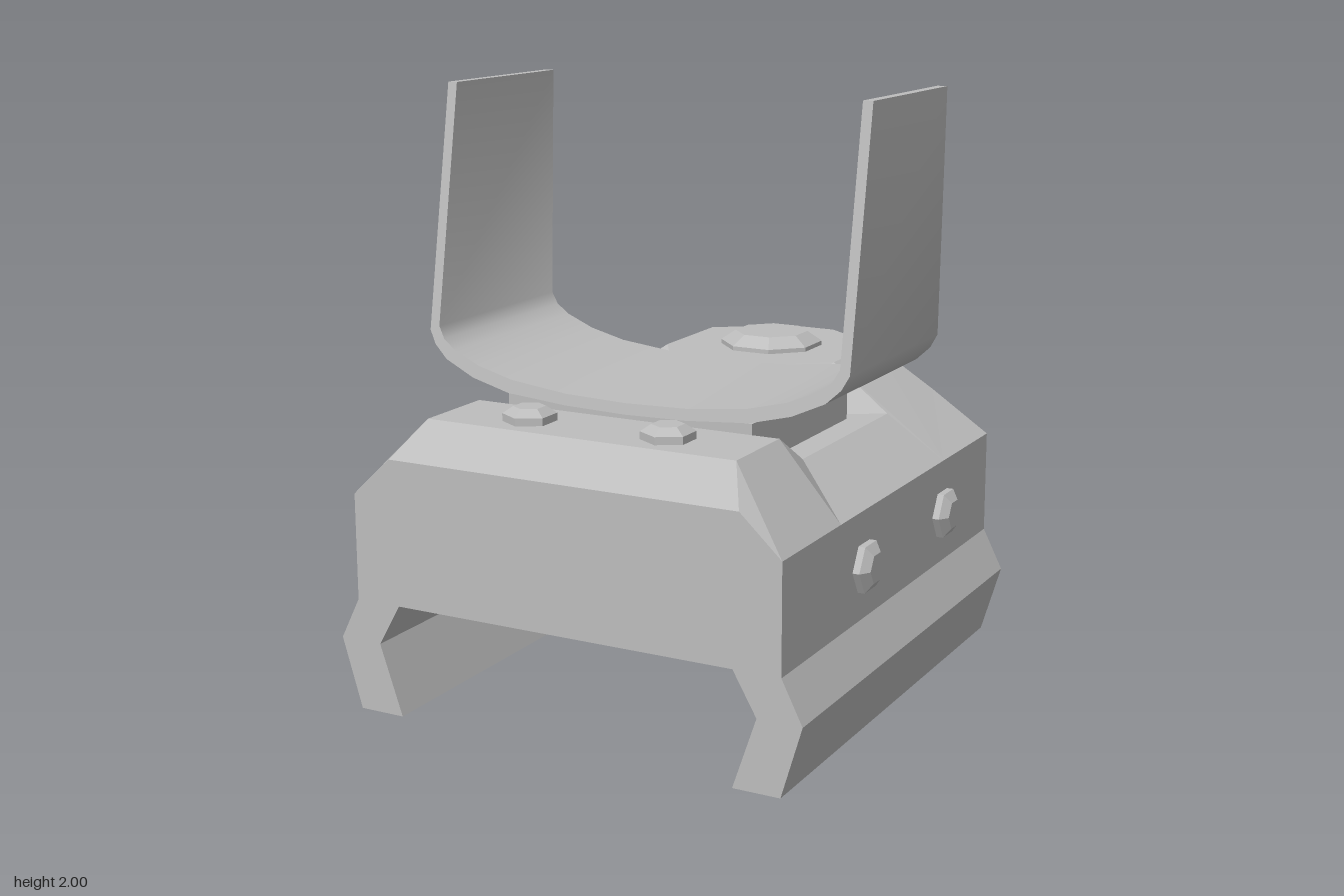
import * as THREE from 'three';
import { toCreasedNormals } from 'three/addons/utils/BufferGeometryUtils.js';

const metal = new THREE.MeshStandardMaterial({ color: 0xbdbdbd });
metal.name = 'grey metal';

// Flat faces given for the +x half, repeated mirrored on the -x half
function mirroredFaces(name, faces) {
  const pos = [];
  for (const f of faces) {
    for (let i = 1; i < f.length - 1; i++) {
      const tri = [f[0], f[i], f[i + 1]];
      for (const p of tri) pos.push(...p);
      for (const p of tri.reverse()) pos.push(-p[0], p[1], p[2]);
    }
  }
  const geo = new THREE.BufferGeometry();
  geo.setAttribute('position', new THREE.Float32BufferAttribute(pos, 3));
  geo.computeVertexNormals();
  const mesh = new THREE.Mesh(geo, metal);
  mesh.name = name;
  return mesh;
}

// Faceted bolt head standing on y = 0
function bolt(name, sides, profile, phi = 0) {
  const points = profile.map(([r, y]) => new THREE.Vector2(r, y));
  const geo = new THREE.LatheGeometry(points, sides, phi).toNonIndexed();
  geo.computeVertexNormals();
  const mesh = new THREE.Mesh(geo, metal);
  mesh.name = name;
  return mesh;
}

// Bent strap: U-shaped band whose width tapers with height
function strap() {
  const outer = [[0.762, 2], [0.762, 1.19], [0.738, 1.145], [0.69, 1.1], [0.58, 1.05],
    [0.44, 1.015], [0.22, 0.998], [0, 0.993]];
  const inner = [[0.728, 2], [0.728, 1.205], [0.705, 1.165], [0.66, 1.132], [0.56, 1.09],
    [0.43, 1.058], [0.22, 1.035], [0, 1.029]];
  const flip = (list) => list.slice(0, -1).reverse().map(([x, y]) => [-x, y]);
  const outline = [...outer, ...flip(outer), ...flip(inner).reverse(), ...inner.slice().reverse()];
  const shape = new THREE.Shape(outline.map(([x, y]) => new THREE.Vector2(x + 0.012, y)));
  const geo = new THREE.ExtrudeGeometry(shape, { depth: 1, bevelEnabled: false });
  const p = geo.attributes.position;
  for (let i = 0; i < p.count; i++) {
    const h = p.getY(i) - 1;
    p.setZ(i, THREE.MathUtils.lerp(-0.15 - 0.04 * h, 0.585 - 0.175 * h, p.getZ(i)));
  }
  const mesh = new THREE.Mesh(toCreasedNormals(geo, 0.6), metal);
  mesh.name = 'strap';
  return mesh;
}

export function createModel() {
  const model = new THREE.Group();
  model.name = 'clampMount';
  const F = 0.98, B = -0.7;

  // Shared corners of the body
  const shoulder = (z) => [0.76, 0.73, z];
  const waist = (z) => [0.76, 0.375, z];
  const frontLip = [0.62, 0.86, F], topFront = [0.55, 0.975, 0.86], topBack = [0.55, 0.975, 0.57];
  const deckFront = [0.55, 0.87, 0.4], deckBack = [0.55, 0.87, -0.28];
  const domeFoot = [0.12, 0.87, -0.03], domeNose = [0.09, 1.02, -0.13];
  const domeFront = [0.33, 1.02, -0.32], domeBack = [0.33, 1.02, -0.67], domeTail = [0.09, 1.02, -0.84];
  const rearTop = [0.55, 0.87, B], rearEnd = [0.16, 0.87, -0.98];
  const rearEndLow = [0.16, 0.375, -0.98], rearLow = [0.6, 0.375, -0.86];
  const mid = ([, y, z]) => [0, y, z];

  // Front block, sides and deck
  model.add(mirroredFaces('body', [
    [[0, 0.375, F], waist(F), shoulder(F), frontLip, mid(frontLip)],
    [mid(frontLip), frontLip, topFront, mid(topFront)],
    [mid(topFront), topFront, topBack, mid(topBack)],
    [mid(topBack), topBack, deckFront, mid(deckFront)],
    [mid(deckFront), deckFront, deckBack, domeFoot, mid(domeFoot)],
    [waist(F), waist(B), shoulder(B), shoulder(F)],
    [shoulder(F), topFront, frontLip],
    [shoulder(F), shoulder(0.57), topBack, topFront],
    [shoulder(0.57), shoulder(0.4), deckFront, topBack],
    [shoulder(0.4), shoulder(-0.28), deckBack, deckFront],
    [[0, 0.375, F], mid(rearEndLow), rearEndLow, rearLow, [0.6, 0.375, F]],
  ]));

  // Raised faceted rear housing
  model.add(mirroredFaces('rearHousing', [
    [shoulder(-0.28), shoulder(B), rearTop, domeBack, domeFront, deckBack],
    [mid(domeFoot), domeFoot, domeNose, mid(domeNose)],
    [domeFoot, deckBack, domeFront, domeNose],
    [mid(domeNose), domeNose, domeFront, domeBack, domeTail, mid(domeTail)],
    [domeBack, rearTop, rearEnd, domeTail],
    [mid(domeTail), domeTail, rearEnd, mid(rearEnd)],
    [rearTop, rearLow, rearEndLow, rearEnd],
    [rearEnd, rearEndLow, mid(rearEndLow), mid(rearEnd)],
    [rearTop, shoulder(B), rearLow],
    [shoulder(B), waist(B), rearLow],
  ]));

  // Bent rail-gripping jaws: [outer x, inner x, y, inner back z]
  const levels = [[0.76, 0.6, 0, -0.81], [0.83, 0.68, 0.235, -0.81], [0.76, 0.6, 0.375, -0.86]];
  const corners = levels.map(([o, i, y, z]) => ({
    of: [o, y, F], ob: [o, y, B], if: [i, y, F], ib: [i, y, z],
  }));
  const jawFaces = [[corners[0].if, corners[0].ib, corners[0].ob, corners[0].of]];
  for (let k = 0; k < 2; k++) {
    const lo = corners[k], hi = corners[k + 1];
    jawFaces.push([lo.of, lo.ob, hi.ob, hi.of], [lo.ib, lo.if, hi.if, hi.ib],
      [hi.if, lo.if, lo.of, hi.of], [hi.ob, lo.ob, lo.ib, hi.ib]);
  }
  model.add(mirroredFaces('jaws', jawFaces));

  // Saddle block under the strap
  const saddle = new THREE.Mesh(new THREE.BoxGeometry(0.89, 0.15, 0.718), metal);
  saddle.name = 'saddleBlock';
  saddle.position.set(0.012, 0.935, 0.211);
  model.add(saddle, strap());

  // Large cap on the housing
  const cap = bolt('capBolt', 8, [[0.182, 0], [0.182, 0.015], [0.13, 0.05], [0, 0.05]], Math.PI / 8);
  cap.position.set(0, 1.02, -0.5);
  model.add(cap);

  // Hex bolts on the front deck and both sides
  const hex = [[0.087, 0], [0.087, 0.025], [0.052, 0.048], [0, 0.048]];
  for (const s of [-1, 1]) {
    const top = bolt('frontBolt', 6, hex);
    top.position.set(s * 0.25, 0.975, 0.73);
    model.add(top);
    for (const z of [0.39, -0.275]) {
      const side = bolt('sideBolt', 6, hex);
      side.rotation.z = -s * Math.PI / 2;
      side.position.set(s * 0.758, 0.548, z);
      model.add(side);
    }
  }
  return model;
}
